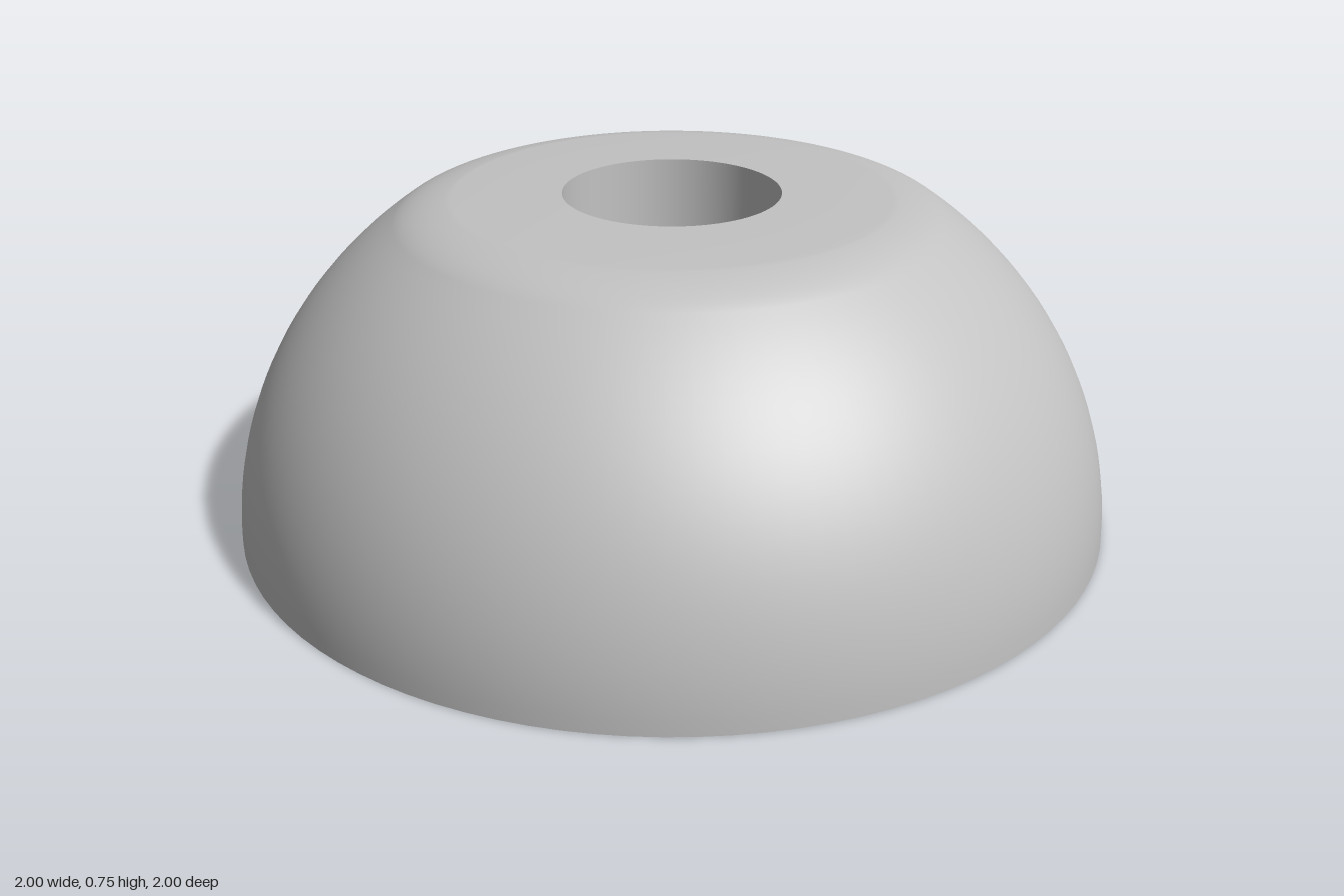
import * as THREE from 'three';

const SEGMENTS = 96;
const RADIUS = 1, DOME_HEIGHT = 0.9;   // elliptical side wall
const BORE = 0.245, TOP = 0.755;       // central through hole

export function createModel() {
  const group = new THREE.Group();
  group.name = 'boredDome';
  const grey = new THREE.MeshStandardMaterial({ color: 0xc2c2c2 });
  grey.name = 'plainGrey';

  // Each surface is its own lathe, so the rims between them stay sharp
  const addLathe = (name, points) => {
    const mesh = new THREE.Mesh(new THREE.LatheGeometry(points, SEGMENTS), grey);
    mesh.name = name;
    group.add(mesh);
  };

  // Dome: elliptical wall, soft shoulder, nearly flat top
  const profile = [];
  const end = Math.acos(0.62);
  for (let i = 0; i < 24; i++) {
    const a = (end * i) / 24;
    profile.push(new THREE.Vector2(RADIUS * Math.cos(a), DOME_HEIGHT * Math.sin(a)));
  }
  const shoulder = new THREE.QuadraticBezierCurve(
    new THREE.Vector2(0.62, DOME_HEIGHT * Math.sin(end)),
    new THREE.Vector2(0.575, 0.739),
    new THREE.Vector2(0.49, 0.75)
  );
  profile.push(...shoulder.getPoints(12));
  profile.push(new THREE.Vector2(0.37, 0.754), new THREE.Vector2(BORE, TOP));
  addLathe('domeShell', profile);

  // Inner wall of the hole, facing the axis
  addLathe('boreWall', [new THREE.Vector2(BORE, TOP), new THREE.Vector2(BORE, 0)]);

  // Flat ring underneath, facing down
  addLathe('baseRing', [new THREE.Vector2(BORE, 0), new THREE.Vector2(RADIUS, 0)]);

  return group;
}
